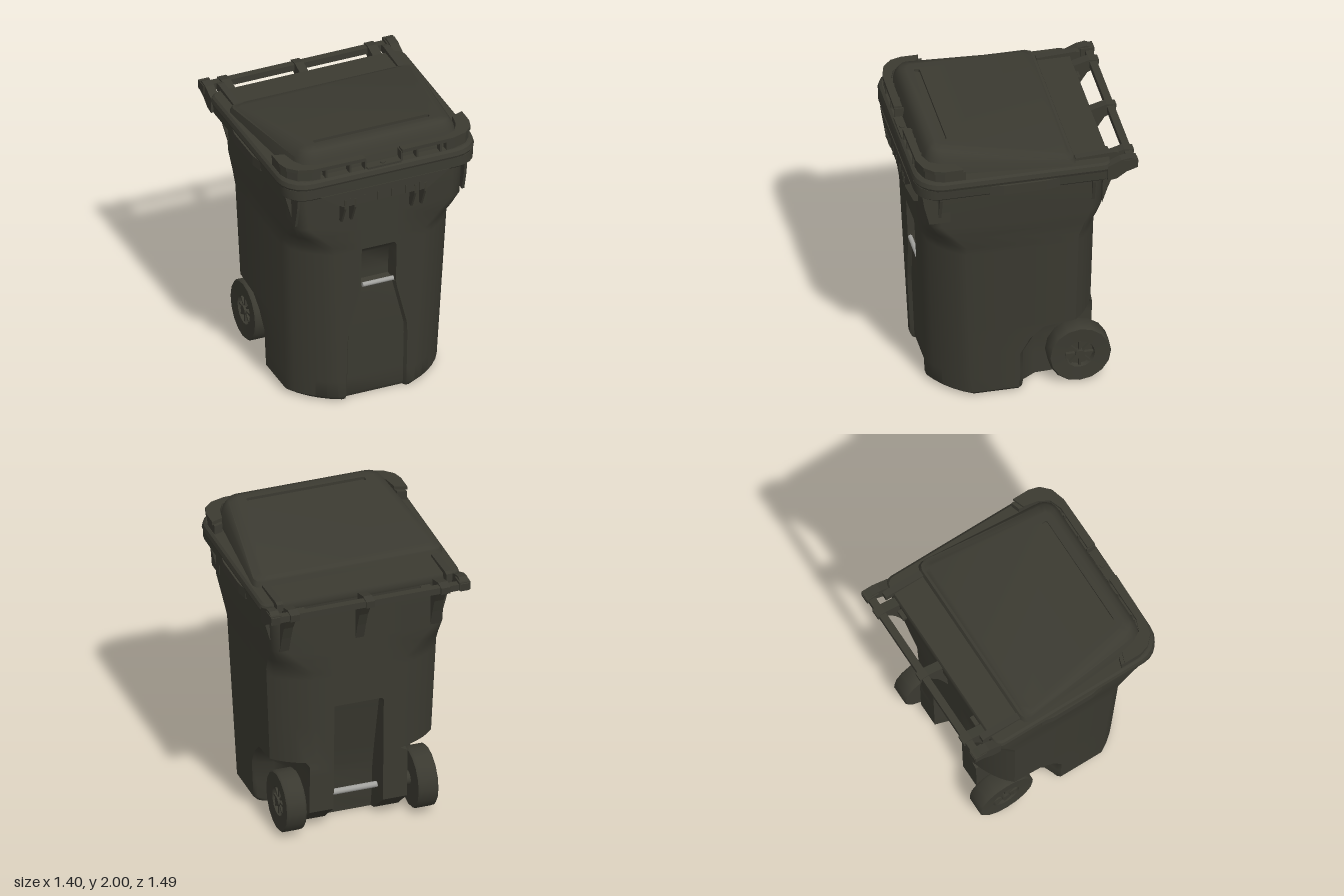
import * as THREE from 'three';
import { toCreasedNormals } from 'three/addons/utils/BufferGeometryUtils.js';

const plastic = new THREE.MeshStandardMaterial({ color: 0x3b3a31 });
plastic.name = 'dark olive plastic';
const metal = new THREE.MeshStandardMaterial({ color: 0xa2a29e });
metal.name = 'bare metal';

const lerp = THREE.MathUtils.lerp;

// Closes a right half outline (back to front) by mirroring it
const mirror = (half) => [...half, ...half.slice().reverse().map(([x, y, z]) => [-x, y, z])];

// Triangles of a flat cap, facing up (1) or down (-1), with optional hole
function capTriangles(ring, dir, hole = []) {
  const v2 = (r) => r.map((p) => new THREE.Vector2(p[0], p[2]));
  const all = [...ring, ...hole];
  const out = [];
  for (const [a, b, c] of THREE.ShapeUtils.triangulateShape(v2(ring), hole.length ? [v2(hole)] : [])) {
    const [A, B, C] = [all[a], all[b], all[c]];
    const up = (B[2] - A[2]) * (C[0] - A[0]) - (B[0] - A[0]) * (C[2] - A[2]);
    out.push(...(up * dir > 0 ? [A, B, C] : [A, C, B]));
  }
  return out;
}

// Skin over stacked rings, bottom to top
function loft(rings, { bottom = true, hole = [], crease = 0.5 } = {}) {
  const tris = [];
  for (let k = 0; k < rings.length - 1; k++) {
    const a = rings[k], b = rings[k + 1], n = a.length;
    for (let i = 0; i < n; i++) {
      const j = (i + 1) % n;
      tris.push(a[i], b[i], b[j], a[i], b[j], a[j]);
    }
  }
  if (bottom) tris.push(...capTriangles(rings[0], -1));
  tris.push(...capTriangles(rings[rings.length - 1], 1, hole));
  const g = new THREE.BufferGeometry();
  g.setAttribute('position', new THREE.Float32BufferAttribute(tris.flat(), 3));
  g.computeVertexNormals();
  return toCreasedNormals(g, crease);
}

// Corner curve from the side to the front or back; round = 0 is a plain chamfer
function corner(X, zEnd, cx, cz, round, n = 5) {
  const s = Math.sign(zEnd);
  return Array.from({ length: n + 1 }, (_, i) => {
    const t = i / n, a = t * Math.PI / 2;
    const u = lerp(1 - t, Math.cos(a), round), v = lerp(t, Math.sin(a), round);
    return [X - cx + cx * u, zEnd - s * cz * (1 - v)];
  });
}

const roundedRing = (y, X, zf, zb, rf, rb) => mirror(
  [...corner(X, zb, rb, rb, 1).reverse(), ...corner(X, zf, rf, rf, 1)].map(([x, z]) => [x, y, z]));

const toShape = (pts) => new THREE.Shape(pts.map(([x, y]) => new THREE.Vector2(x, y)));

// Horizontal plate from [x, z] points
function plate(pts, y, h) {
  const g = new THREE.ExtrudeGeometry(toShape(pts.map(([x, z]) => [x, -z])), { depth: h, bevelEnabled: false });
  return g.rotateX(-Math.PI / 2).translate(0, y, 0);
}

// Upright fin from [z, y] points
function fin(pts, x, t) {
  const g = new THREE.ExtrudeGeometry(toShape(pts), { depth: t, bevelEnabled: false });
  return g.rotateY(-Math.PI / 2).translate(x + t / 2, 0, 0);
}

const box = (w, h, d, x, y, z) => new THREE.BoxGeometry(w, h, d).translate(x, y, z);

// Body section with front channel, back recess and wheel arches
function bodyRing([y, wf, df, wb, db, arch]) {
  const t = y / 1.4;
  let X = 0.54 + 0.06 * t, zf = 0.585 + 0.06 * t, zb = -0.5 - 0.03 * t;
  if (y < 0.02) { X -= 0.03; zf -= 0.015; }
  if (y < 0.15) zb = lerp(-0.33, -0.49, y / 0.15);
  const k = THREE.MathUtils.clamp((y - 1.22) / 0.2, 0, 1);
  const cx = lerp(0.27, 0.09, k), round = lerp(0.4, 1, k);
  const back = arch === null
    ? corner(X, zb, cx, lerp(0.16, 0.08, k), round).reverse()
    : [[0.34, zb], [0.35, -0.3 + arch * 0.5], [0.36, -0.12 + arch], [0.42, -0.03 + arch], [X - 0.02, arch], [X, 0.02 + arch]];
  const half = [[wb, zb + db], [wb + 0.012, zb], ...back,
    ...corner(X, zf, cx, lerp(0.25, 0.09, k), round), [wf + 0.015, zf], [wf, zf - df]];
  return mirror(half.map(([x, z]) => [x, y, z]));
}

function createWheel() {
  const wheel = new THREE.Group();
  const profile = [[0, -0.07], [0.2, -0.07], [0.21, -0.055], [0.21, 0.055], [0.2, 0.068], [0.1, 0.062], [0.092, 0.03], [0, 0.03]];
  const add = (name, g) => {
    const m = new THREE.Mesh(toCreasedNormals(g.rotateZ(-Math.PI / 2), 0.8), plastic);
    m.name = name;
    wheel.add(m);
  };
  add('tyre', new THREE.LatheGeometry(profile.map(([x, y]) => new THREE.Vector2(x, y)), 16));
  add('hub', new THREE.CylinderGeometry(0.032, 0.032, 0.04, 12).translate(0, 0.05, 0));
  for (let i = 0; i < 8; i++) {
    add('spoke', box(0.066, 0.03, 0.014, 0.06, 0.04, 0).rotateY(i * Math.PI / 4));
  }
  return wheel;
}

export function createModel() {
  const model = new THREE.Group();
  const add = (name, g, mat = plastic) => {
    const m = new THREE.Mesh(g, mat);
    m.name = name;
    model.add(m);
  };

  // Body rows: y, channel half width and depth, recess half width and depth, arch shift
  add('body', loft([
    [0, 0.2, 0.025, 0.16, 0.03, 0], [0.03, 0.2, 0.025, 0.16, 0.06, 0], [0.15, 0.2, 0.025, 0.16, 0.18, 0],
    [0.3, 0.2, 0.025, 0.16, 0.18, 0], [0.42, 0.2, 0.025, 0.16, 0.16, -0.07], [0.5, 0.195, 0.025, 0.16, 0.145, -0.16],
    [0.525, 0.19, 0.025, 0.16, 0.14, null], [0.8, 0.12, 0.025, 0.16, 0.08, null], [0.85, 0.11, 0.03, 0.16, 0.07, null],
    [0.87, 0.11, 0.1, 0.16, 0.065, null], [0.92, 0.11, 0.1, 0.16, 0.055, null], [0.935, 0.11, 0.1, 0.16, 0, null],
    [1.08, 0.11, 0.09, 0.16, 0, null], [1.14, 0.11, 0.03, 0.16, 0, null],
    [1.165, 0.11, 0, 0.16, 0, null], [1.22, 0.11, 0, 0.16, 0, null], [1.32, 0.11, 0, 0.16, 0, null],
    [1.42, 0.11, 0, 0.16, 0, null], [1.72, 0.11, 0, 0.16, 0, null],
  ].map(bodyRing), { crease: 0.75 }));
  add('frontBar', new THREE.CylinderGeometry(0.016, 0.016, 0.22, 10).rotateZ(Math.PI / 2).translate(0, 0.875, 0.61), metal);

  // Rim under the lid
  add('rim', loft([
    roundedRing(1.69, 0.672, 0.722, -0.56, 0.15, 0.06),
    roundedRing(1.7, 0.68, 0.73, -0.567, 0.15, 0.06),
    roundedRing(1.77, 0.685, 0.73, -0.57, 0.16, 0.06),
  ]));
  for (const s of [-1, 1]) {
    add('sideGrip', plate([[s * 0.64, -0.24], [s * 0.683, -0.22], [s * 0.7, -0.13], [s * 0.7, 0.16], [s * 0.683, 0.25], [s * 0.64, 0.28]], 1.69, 0.07));
    // Gussets flaring from the body corners to the rim
    add('cornerGusset', fin([[0.5, 1.46], [0.64, 1.46], [0.675, 1.6], [0.69, 1.7], [0.5, 1.7]], s * 0.597, 0.018));
    for (const z of [0.56, -0.47]) {
      add('sideGusset', new THREE.ExtrudeGeometry(
        toShape([[s * 0.58, 1.48], [s * 0.605, 1.5], [s * 0.648, 1.66], [s * 0.65, 1.7], [s * 0.58, 1.7]]),
        { depth: 0.02, bevelEnabled: false }).translate(0, 0, z));
    }
  }

  // Front lift pocket with ribs
  add('frontSkirt', new THREE.ExtrudeGeometry(
    toShape([[-0.46, 1.7], [-0.3, 1.59], [0.3, 1.59], [0.46, 1.7]]), { depth: 0.095, bevelEnabled: false }).translate(0, 0, 0.64));
  for (const x of [0.215, 0.285]) {
    for (const s of [-1, 1]) {
      add('skirtFin', fin([[0.64, 1.44], [0.675, 1.44], [0.735, 1.57], [0.74, 1.64], [0.64, 1.64]], s * x, 0.014));
    }
  }
  for (let i = 0; i < 6; i++) add('skirtRib', box(0.01, 0.06, 0.012, -0.25 + i * 0.1, 1.62, 0.734));

  // Lid slab
  add('lid', loft([
    roundedRing(1.765, 0.69, 0.728, -0.57, 0.18, 0.06),
    roundedRing(1.785, 0.697, 0.735, -0.575, 0.18, 0.06),
    roundedRing(1.815, 0.69, 0.728, -0.57, 0.18, 0.06),
    roundedRing(1.828, 0.675, 0.71, -0.565, 0.17, 0.06),
  ]));

  // Sloping lid dome with a groove in its top
  const slope = (z) => 2 - (0.57 - z) * 0.138;
  const domeRing = (Xb, zb, Xf, zf, r, yAt) => mirror(
    [[Xb - 0.05, zb], [Xb - 0.015, zb + 0.015], [Xb, zb + 0.05], ...corner(Xf, zf, r, r, 1)].map(([x, z]) => [x, yAt(z), z]));
  const top = domeRing(0.6, -0.3, 0.48, 0.57, 0.06, slope);
  const grooveRing = (drop) => mirror(
    [[0.4, 0.48], [0.413, 0.487], [0.413, 0.513], [0.4, 0.52]].map(([x, z]) => [x, slope(z) - drop, z]));
  add('lidDome', loft([
    domeRing(0.665, -0.345, 0.59, 0.66, 0.12, () => 1.82),
    domeRing(0.65, -0.33, 0.565, 0.637, 0.11, (z) => 1.862 + (z + 0.33) * 0.08),
    domeRing(0.63, -0.312, 0.53, 0.605, 0.08, (z) => slope(z) - 0.016),
    top,
  ], { bottom: false, hole: grooveRing(0), crease: 0.9 }));
  add('lidGroove', loft([grooveRing(0), grooveRing(0.02)], { bottom: false }));

  // Raised grip ledges round the front corners
  for (const s of [-1, 1]) {
    const m = (pts) => pts.map(([x, z]) => [s * x, z]);
    add('gripLedge', plate(m([[0.13, 0.715], [0.5, 0.71], [0.6, 0.68], [0.66, 0.62], [0.68, 0.55], [0.68, 0.43],
      [0.6, 0.46], [0.58, 0.56], [0.54, 0.63], [0.46, 0.66], [0.13, 0.66]]), 1.89, 0.025));
    add('gripCorner', plate(m([[0.45, 0.705], [0.51, 0.70], [0.6, 0.67], [0.65, 0.61], [0.67, 0.55], [0.67, 0.41],
      [0.61, 0.43], [0.58, 0.56], [0.54, 0.63], [0.45, 0.65]]), 1.82, 0.07));
    for (const x of [0.13, 0.24, 0.41]) add('gripRib', box(0.014, 0.08, 0.06, s * x, 1.86, 0.68));
  }
  add('latch', box(0.24, 0.015, 0.06, 0, 1.832, 0.69));
  add('latchButton', new THREE.CylinderGeometry(0.018, 0.018, 0.008, 10).translate(0, 1.843, 0.69));

  // Rear handle, brackets and lid hinges
  add('handleBar', box(1.28, 0.045, 0.05, 0, 1.795, -0.705));
  const bracket = [[-0.53, 1.43], [-0.57, 1.55], [-0.61, 1.65], [-0.665, 1.735], [-0.74, 1.77], [-0.745, 1.82], [-0.68, 1.83], [-0.54, 1.79]];
  const arm = [[-0.54, 1.69], [-0.6, 1.7], [-0.665, 1.745], [-0.74, 1.77], [-0.745, 1.825], [-0.69, 1.85], [-0.63, 1.84], [-0.54, 1.8]];
  const hinge = [[-0.34, 1.82], [-0.34, 1.845], [-0.6, 1.858], [-0.63, 1.85], [-0.63, 1.8], [-0.55, 1.79]];
  add('handleBracket', fin(bracket, 0, 0.06));
  for (const s of [-1, 1]) {
    add('handleBracket', fin(bracket, s * 0.525, 0.065));
    add('handleArm', fin(arm, s * 0.66, 0.06));
    add('handleEnd', box(0.075, 0.06, 0.09, s * 0.658, 1.805, -0.695));
    add('hingeArm', fin(hinge, s * 0.59, 0.045));
    add('rearStop', box(0.07, 0.03, 0.05, s * 0.44, 1.75, -0.575));
  }

  // Axle and wheels
  add('axle', new THREE.CylinderGeometry(0.021, 0.021, 0.34, 10).rotateZ(Math.PI / 2).translate(0, 0.215, -0.4), metal);
  for (const s of [-1, 1]) {
    const wheel = createWheel();
    wheel.name = s > 0 ? 'leftWheel' : 'rightWheel';
    wheel.position.set(s * 0.46, 0.215, -0.39);
    if (s < 0) wheel.rotation.y = Math.PI;
    model.add(wheel);
    add('wheelStub', new THREE.CylinderGeometry(0.05, 0.05, 0.08, 12).rotateZ(Math.PI / 2).translate(s * 0.36, 0.215, -0.39));
  }
  return model;
}
